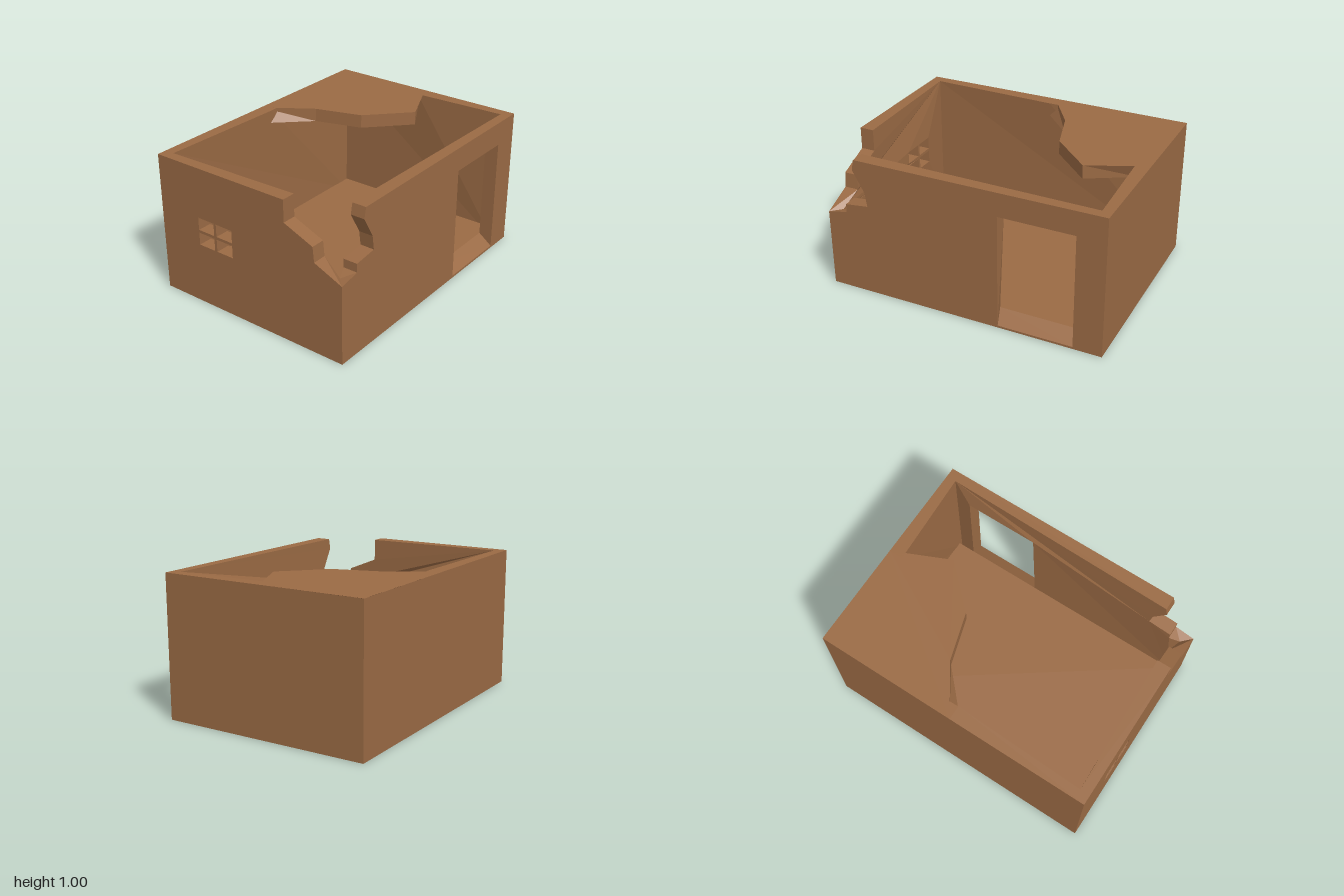
import * as THREE from 'three';

const W = 1, D = 0.75, T = 0.1, MITRE = 0.07, FLOOR = 0.09;
const clay = new THREE.MeshStandardMaterial({ color: 0x9a6a44, flatShading: true, side: THREE.DoubleSide });

const toShape = (pts) => new THREE.Shape(pts.map(([x, y]) => new THREE.Vector2(x, y)));
const rect = (x0, x1, y0, y1) => [[x0, y0], [x1, y0], [x1, y1], [x0, y1]];

function part(name, geometry) {
  const mesh = new THREE.Mesh(geometry, clay);
  mesh.name = name;
  return mesh;
}

// Extrudes an outline and moves its vertices by a rule
function slab(outline, holes, depth, rule) {
  const shape = toShape(outline);
  holes.forEach((h) => shape.holes.push(toShape(h)));
  const geo = new THREE.ExtrudeGeometry(shape, { depth, bevelEnabled: false });
  const pos = geo.attributes.position, v = new THREE.Vector3();
  for (let i = 0; i < pos.count; i++) {
    rule(v.fromBufferAttribute(pos, i));
    pos.setXYZ(i, v.x, v.y, v.z);
  }
  geo.computeVertexNormals();
  return geo;
}

// A wall drawn as seen from outside; its inner ends are drawn in to a mitre
function wall(name, outline, holes, half, distance, angle, innerRule = () => {}) {
  const geo = slab(outline, holes, T, (v) => {
    if (v.z > T / 2) return;
    if (Math.abs(v.x) > half - 0.001) {
      v.x = Math.sign(v.x) * (half - MITRE);
      v.z = T - MITRE;
    }
    innerRule(v);
  });
  geo.translate(0, 0, distance - T);
  geo.rotateY(angle);
  return part(name, geo);
}

export function createModel() {
  const house = new THREE.Group();
  house.name = 'ruinedHouse';

  // Front wall: broken at one end, with a doorway whose sill slopes up to the floor
  const frontOutline = [
    [-W, 0], [W, 0], [W, 1], [-0.77, 0.995], [-0.785, 0.92], [-0.7, 0.77],
    [-0.685, 0.67], [-0.855, 0.65], [-0.855, 0.59], [-W, 0.56],
  ];
  house.add(wall('frontWall', frontOutline, [rect(0.27, 0.8, 0.015, 0.83)], W, D, 0, (v) => {
    if (Math.abs(v.y - 0.015) < 0.001) {
      v.y = FLOOR;
      if (v.x < 0.5) v.x = 0.24;
    }
  }));

  // Side wall stepping down to the broken corner, with a four-pane window
  const sideOutline = [
    [-D, 0], [D, 0], [D, 0.56], [0.54, 0.65], [0.53, 0.755], [0.31, 0.845], [0.31, 1], [-D, 1],
  ];
  const panes = [];
  for (const z of [-0.42, -0.265])
    for (const y of [0.44, 0.55]) panes.push(rect(z, z + 0.135, y, y + 0.09));
  house.add(wall('windowWall', sideOutline, panes, D, W, -Math.PI / 2));

  // Plain walls, tucked just under the roof along half their length
  const plain = (half) => [[-half, 0], [half, 0], [half, 1], [0, 1], [-half, 1]];
  const back = plain(W), side = plain(D);
  back[4][1] = 0.999;
  side[2][1] = 0.999;
  house.add(wall('backWall', back, [], W, D, Math.PI));
  house.add(wall('plainSideWall', side, [], D, W, Math.PI / 2));

  // Remaining corner of the roof; its underside stops at the inner wall faces
  const roofOutline = [[0, D], [0.22, 0.42], [0.32, 0.09], [0.6, -0.18], [W, 0], [W, D]];
  const roof = slab(roofOutline, [], 0.095, (v) => {
    if (v.z > 0.05) return;
    v.x = Math.min(v.x, 0.915);
    v.y = Math.min(v.y, 0.655);
  });
  roof.rotateX(-Math.PI / 2);
  roof.translate(0, 1 - 0.095, 0);
  house.add(part('roofRemnant', roof));

  // Floor and the thin base under the walls
  const floor = new THREE.BoxGeometry(1.87, FLOOR - 0.005, 1.335);
  floor.translate(0, (FLOOR + 0.005) / 2, -0.0175);
  house.add(part('floor', floor));
  const base = new THREE.BoxGeometry(2 * W, 0.012, 2 * D);
  base.translate(0, 0.006, 0);
  house.add(part('base', base));

  return house;
}
